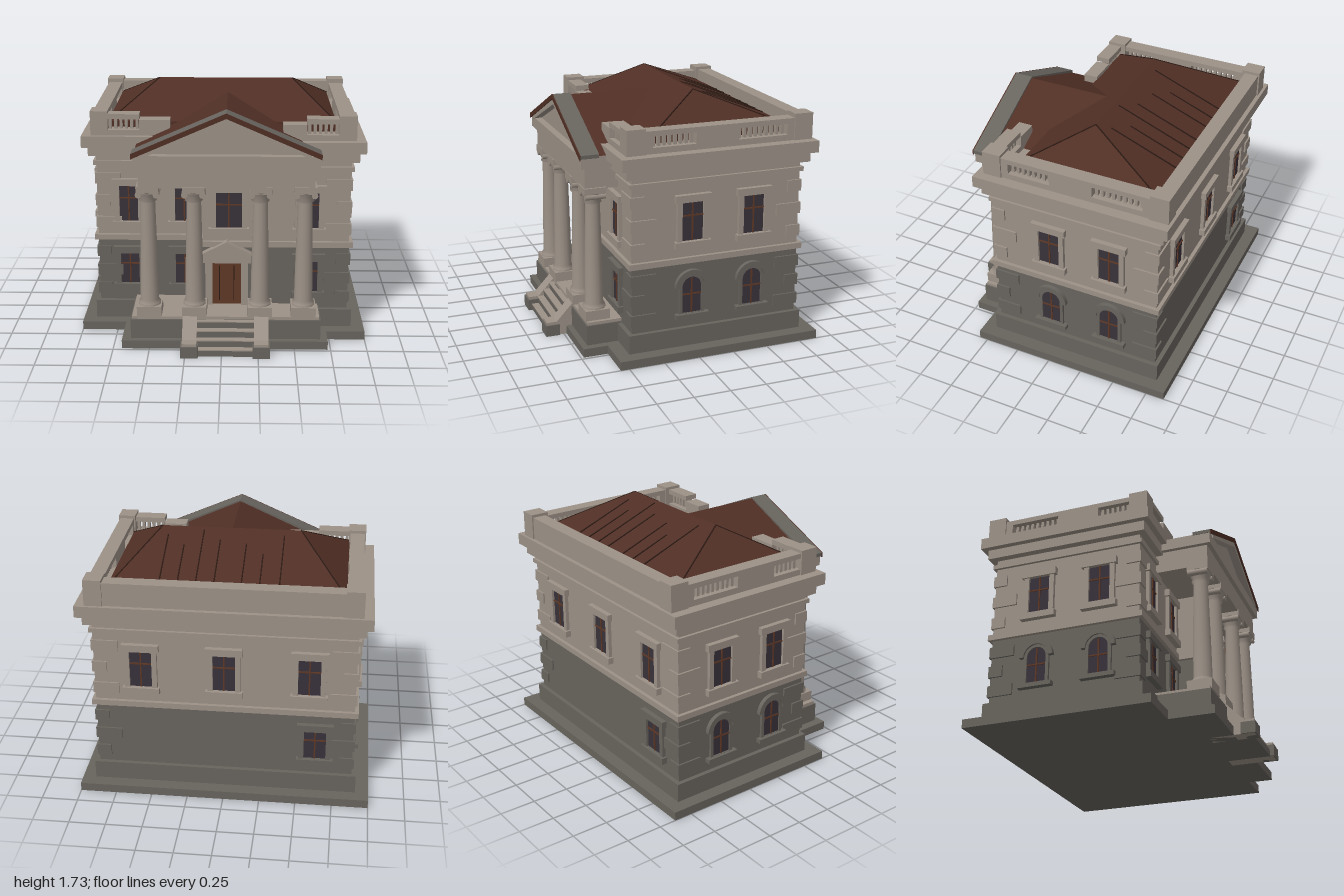
import * as THREE from 'three';
import { ConvexGeometry } from 'three/addons/geometries/ConvexGeometry.js';

const mat = (name, color, side = THREE.FrontSide) => {
  const m = new THREE.MeshStandardMaterial({ color, side });
  m.name = name;
  return m;
};
const light = mat('light stone', 0x9c9187);
const dark = mat('dark stone', 0x68645e);
const roofBrown = mat('roof brown', 0x502f25);
const seamBrown = mat('seam brown', 0x2a1913);
const glass = mat('window glass', 0x38313a);
const wood = mat('door wood', 0x5e3826);

export function createModel() {
  const root = new THREE.Group();
  root.name = 'porticoHouse';

  const add = (name, geo, m, parent = root) => {
    const mesh = new THREE.Mesh(geo, m);
    mesh.name = name;
    parent.add(mesh);
    return mesh;
  };
  // Box given by its limits
  const box = (name, m, x0, x1, y0, y1, z0, z1, parent = root) => {
    const b = add(name, new THREE.BoxGeometry(x1 - x0, y1 - y0, z1 - z0), m, parent);
    b.position.set((x0 + x1) / 2, (y0 + y1) / 2, (z0 + z1) / 2);
    return b;
  };
  const shapeOf = pts => new THREE.Shape(pts.map(p => new THREE.Vector2(p[0], p[1])));
  // Outline in x and y, extruded from z0 to z1
  const slab = (name, m, pts, z0, z1, parent = root) => {
    const geo = new THREE.ExtrudeGeometry(Array.isArray(pts) ? shapeOf(pts) : pts,
      { depth: z1 - z0, bevelEnabled: false, curveSegments: 10 });
    return add(name, geo.translate(0, 0, z0), m, parent);
  };
  // Thin bar between two points
  const bar = (name, m, a, b, w) => {
    const p = new THREE.Vector3(...a), q = new THREE.Vector3(...b);
    const s = add(name, new THREE.BoxGeometry(w, 0.008, p.distanceTo(q)), m);
    s.position.copy(p).lerp(q, 0.5);
    s.lookAt(q);
    return s;
  };

  // Main body: one stepped footprint, repeated with offsets
  const W = 0.88, BACK = -0.76, FR = 0.44, FL = 0.3, STEP = -0.14;
  const storey = (name, m, y0, y1, d) => {
    const pts = [[-W - d, BACK - d], [W + d, BACK - d], [W + d, FR + d],
      [STEP - d, FR + d], [STEP - d, FL + d], [-W - d, FL + d]];
    const geo = new THREE.ExtrudeGeometry(shapeOf(pts.map(p => [p[0], -p[1]])),
      { depth: y1 - y0, bevelEnabled: false });
    add(name, geo.rotateX(-Math.PI / 2).translate(0, y0, 0), m);
  };
  storey('groundSlab', dark, 0, 0.06, 0.12);
  storey('plinth', dark, 0.06, 0.19, 0.03);
  storey('lowerWall', dark, 0.19, 0.65, 0);
  storey('stringCourse', light, 0.65, 0.69, 0.025);
  storey('upperWall', light, 0.69, 1.28, 0);
  storey('frieze', light, 1.2, 1.23, 0.02);
  storey('lowerCornice', light, 1.27, 1.34, 0.05);
  storey('upperCornice', light, 1.34, 1.42, 0.09);

  // Corner blocks
  for (const [cx, cz] of [[W, FR], [W, BACK], [-W, FL], [-W, BACK]]) {
    for (let i = 0; i < 6; i++) {
      const y = i < 3 ? 0.24 + i * 0.14 : 0.74 + (i - 3) * 0.16;
      const rx = i % 2 ? 0.09 : 0.05, rz = i % 2 ? 0.05 : 0.09;
      const ox = cx - Math.sign(cx) * (rx - 0.012), oz = cz - Math.sign(cz) * (rz - 0.012);
      box('cornerBlock', i < 3 ? dark : light, ox - rx, ox + rx, y, y + 0.08, oz - rz, oz + rz);
    }
  }

  // Windows, built facing +z about their centre
  const place = (name, x, y, z, turn) => {
    const g = new THREE.Group();
    g.name = name;
    g.position.set(x, y, z);
    g.rotation.y = turn;
    root.add(g);
    return g;
  };
  const squareWindow = (x, y, z, turn, w, h, m) => {
    const g = place('squareWindow', x, y, z, turn), a = w / 2, b = h / 2, f = 0.035;
    box('pane', glass, -a, a, -b, b, 0, 0.008, g);
    for (const s of [-1, 1]) {
      const c = s * (a + f / 2);
      box('jamb', m, c - f / 2, c + f / 2, -b, b, 0, 0.025, g);
    }
    box('lintel', m, -a - 0.05, a + 0.05, b, b + 0.05, 0, 0.035, g);
    box('sill', m, -a - 0.05, a + 0.05, -b - 0.045, -b, 0, 0.04, g);
    box('mullion', wood, -0.005, 0.005, -b, b, 0.006, 0.014, g);
    box('crossbar', wood, -a, a, b * 0.25, b * 0.25 + 0.01, 0.006, 0.014, g);
  };
  const archOutline = (r, low) => {
    const s = new THREE.Shape();
    s.moveTo(-r, low);
    s.lineTo(r, low);
    s.lineTo(r, 0);
    s.absarc(0, 0, r, 0, Math.PI, false);
    return s;
  };
  const archWindow = (x, z, turn) => {
    const g = place('archedWindow', x, 0.48, z, turn);
    slab('pane', glass, archOutline(0.07, -0.19), 0, 0.008, g);
    const frame = archOutline(0.09, -0.19);
    frame.holes.push(archOutline(0.068, -0.188));
    slab('frame', dark, frame, 0, 0.018, g);
    const hood = new THREE.Shape().absarc(0, 0, 0.12, 0, Math.PI, false);
    hood.absarc(0, 0, 0.088, Math.PI, 0, true);
    slab('hood', dark, hood, 0, 0.03, g);
    box('sill', dark, -0.12, 0.12, -0.22, -0.19, 0, 0.04, g);
    box('mullion', wood, -0.005, 0.005, -0.19, 0.06, 0.006, 0.014, g);
    box('crossbar', wood, -0.07, 0.07, -0.06, -0.05, 0.006, 0.014, g);
  };
  for (const s of [-1, 1]) for (const z of [0.02, -0.42]) {
    squareWindow(s * W, 0.94, z, s * Math.PI / 2, 0.15, 0.27, light);
    archWindow(s * W, z, s * Math.PI / 2);
  }
  for (const [x, z] of [[-0.66, FL], [-0.27, FL], [0.6, FR]]) {
    squareWindow(x, 0.92, z, 0, 0.13, 0.26, light);
    squareWindow(x, 0.435, z, 0, 0.13, 0.23, dark);
  }
  squareWindow(0.045, 0.92, FR, 0, 0.18, 0.26, light);
  for (const x of [0.56, 0, -0.57]) squareWindow(x, 0.94, BACK, Math.PI, 0.15, 0.27, light);
  squareWindow(-0.62, 0.42, BACK, Math.PI, 0.15, 0.22, dark);

  // Door with its own small pediment
  const CX = 0.03;
  box('door', wood, CX - 0.1, CX + 0.1, 0.22, 0.54, FR, FR + 0.012);
  for (const s of [-1, 1]) {
    const c = CX + s * 0.125;
    box('doorJamb', light, c - 0.025, c + 0.025, 0.22, 0.56, FR, FR + 0.035);
    box('doorPanelLine', seamBrown, CX + s * 0.05 - 0.003, CX + s * 0.05 + 0.003, 0.25, 0.51, FR + 0.01, FR + 0.015);
  }
  box('doorLintel', light, CX - 0.17, CX + 0.17, 0.54, 0.6, FR, FR + 0.05);
  slab('doorPediment', light, [[CX - 0.19, 0.6], [CX + 0.19, 0.6], [CX, 0.7]], FR, FR + 0.06);

  // Porch floor
  box('porchSlab', dark, -0.69, 0.73, 0, 0.06, 0.2, 0.73);
  box('porchPlinth', dark, -0.63, 0.68, 0.06, 0.2, 0.2, 0.69);
  box('porchFloor', light, -0.62, 0.67, 0.2, 0.22, 0.2, 0.68);

  // Steps and sloping cheek walls
  for (let i = 0; i < 4; i++) {
    const y = 0.05 * (i + 1), z = 0.85 - i * 0.045;
    box('step', dark, -0.17, 0.22, 0, y - 0.006, 0.6, z);
    box('tread', light, -0.17, 0.22, y - 0.007, y, 0.6, z + 0.004);
  }
  for (const x of [-0.22, 0.27]) {
    const cheek = slab('stepCheek', light, [[-0.87, 0], [-0.55, 0], [-0.55, 0.24],
      [-0.67, 0.24], [-0.8, 0.1], [-0.87, 0.1]], -0.05, 0.05);
    cheek.rotation.y = Math.PI / 2;
    cheek.position.x = x;
    box('cheekFoot', dark, x - 0.06, x + 0.06, 0, 0.08, 0.78, 0.88);
  }

  // Columns
  const shaft = [[0.078, 0.29], [0.078, 0.305], [0.064, 0.325], [0.06, 0.6], [0.05, 1.03],
    [0.062, 1.04], [0.055, 1.055], [0.08, 1.11]].map(p => new THREE.Vector2(...p));
  for (const x of [-0.5, -0.19, 0.26, 0.56]) {
    const g = place('column', x, 0, 0.6, 0);
    box('columnBase', light, -0.085, 0.085, 0.22, 0.29, -0.085, 0.085, g);
    add('columnShaft', new THREE.LatheGeometry(shaft, 14), light, g);
    box('capital', light, -0.075, 0.075, 1.1, 1.15, -0.075, 0.075, g);
    for (const s of [-1, 1]) {
      const scroll = add('scroll', new THREE.CylinderGeometry(0.022, 0.022, 0.14, 8), light, g);
      scroll.rotation.x = Math.PI / 2;
      scroll.position.set(s * 0.06, 1.09, 0);
    }
  }

  // Porch beam and cornice
  box('porchBeam', light, -0.56, 0.62, 1.14, 1.29, 0.25, 0.67);
  box('porchCornice', light, -0.59, 0.65, 1.29, 1.37, 0.25, 0.7);

  // Gable over the porch
  const gable = (half, low, top) => [[CX - half, low], [CX + half, low], [CX, top]];
  const chevron = (half, low, top, t) => [[CX - half, low], [CX - half, low - t], [CX, top - t],
    [CX + half, low - t], [CX + half, low], [CX, top]];
  slab('gableRoof', roofBrown, gable(0.62, 1.37, 1.65), 0.0, 0.59);
  slab('gableCoping', dark, chevron(0.63, 1.385, 1.66, 0.025), 0.58, 0.705);
  slab('gableEdge', roofBrown, chevron(0.63, 1.385, 1.66, 0.035), 0.705, 0.712);
  slab('pedimentWall', light, gable(0.58, 1.37, 1.61), 0.58, 0.65);
  slab('pedimentMoulding', light, chevron(0.56, 1.395, 1.628, 0.04), 0.6, 0.705);

  // Hipped roof with seams
  const X0 = -0.79, X1 = 0.78, Z0 = -0.71, Z1 = 0.27, RZ = -0.14, RL = -0.46, RR = 0.49, RY = 1.725, EY = 1.5;
  const pts = [[RL, RY, RZ], [RR, RY, RZ]];
  for (const x of [X0, X1]) for (const z of [Z0, Z1]) pts.push([x, EY, z], [x, 1.4, z]);
  add('hipRoof', new ConvexGeometry(pts.map(p => new THREE.Vector3(...p))), roofBrown);
  for (const [x, l] of [[-0.35, 0.9], [-0.22, 0.6], [-0.1, 0.75], [0.08, 0.8], [0.2, 0.95], [0.32, 0.7], [0.44, 0.85]])
    bar('roofSeam', seamBrown, [x, EY + (RY - EY) * l, Z0 + (RZ - Z0) * l], [x, EY + 0.01, Z0 + 0.02], 0.008);
  for (const [rx, ex] of [[RL, X0], [RR, X1]]) for (const z of [Z0, Z1])
    bar('hipSeam', seamBrown, [rx, RY - 0.002, RZ], [ex, EY - 0.002, z], 0.008);

  // Parapet runs; open stretches get rails and balusters
  const run = (alongX, c, a, b, open, top = 1.57) => {
    const piece = (name, p, q, y0, y1, w) => alongX
      ? box(name, light, p, q, y0, y1, c - w, c + w)
      : box(name, light, c - w, c + w, y0, y1, p, q);
    if (!open) {
      piece('parapet', a, b, 1.42, top, 0.05);
      return;
    }
    piece('lowerRail', a, b, 1.42, 1.46, 0.05);
    piece('upperRail', a, b, 1.535, top, 0.05);
    const n = Math.round((b - a) / 0.04);
    for (let i = 0; i < n; i++) {
      const m = a + (i + 0.5) * (b - a) / n;
      piece('baluster', m - 0.01, m + 0.01, 1.46, 1.535, 0.015);
    }
  };
  for (const s of [-1, 1]) {
    const c = s * 0.845, end = s > 0 ? 0.45 : 0.33;
    run(false, c, -0.8, -0.65, false);
    run(false, c, -0.65, -0.3, true);
    run(false, c, -0.3, 0, false);
    run(false, c, 0, 0.3, true);
    run(false, c, 0.3, end, false);
    box('parapetPost', light, c - 0.06, c + 0.06, 1.42, 1.59, end - 0.1, end + 0.03);
    box('parapetPost', light, c - 0.06, c + 0.06, 1.42, 1.6, -0.83, -0.7);
  }
  run(true, -0.77, -0.8, 0.8, false, 1.58);
  run(true, 0.31, -0.79, -0.57, true);
  run(true, 0.31, -0.57, -0.36, false, 1.53);
  run(true, 0.43, 0.57, 0.79, true);
  run(true, 0.43, 0.41, 0.57, false, 1.53);

  return root;
}
